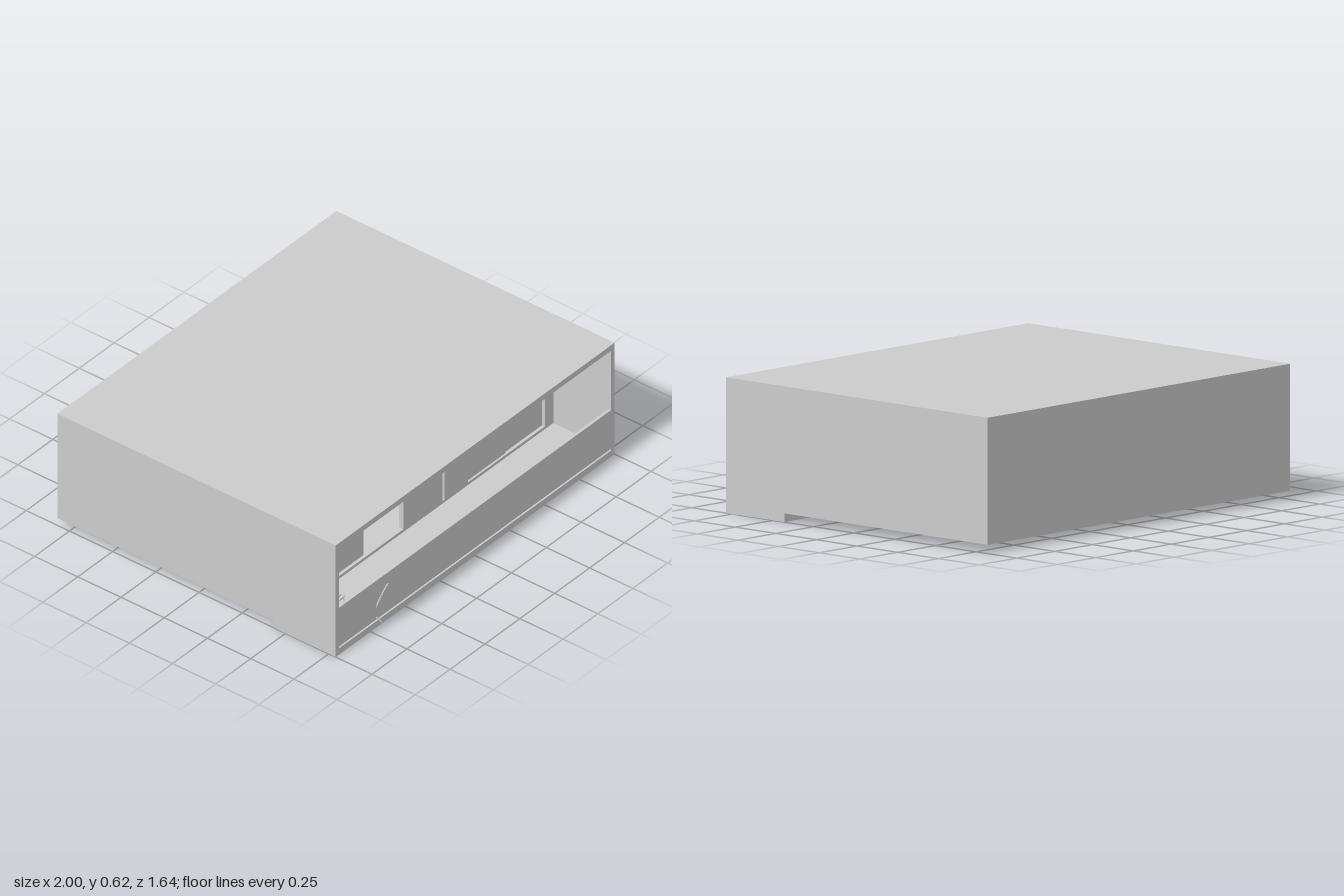
import * as THREE from 'three';

const mat = new THREE.MeshStandardMaterial({ color: 0xcccccc, side: THREE.DoubleSide });

// Box given by its min and max corners
function box(parent, name, x0, x1, y0, y1, z0, z1) {
  const m = new THREE.Mesh(new THREE.BoxGeometry(x1 - x0, y1 - y0, z1 - z0), mat);
  m.position.set((x0 + x1) / 2, (y0 + y1) / 2, (z0 + z1) / 2);
  m.name = name;
  parent.add(m);
  return m;
}

function rod(parent, name, a, b, r) {
  const curve = new THREE.LineCurve3(new THREE.Vector3(...a), new THREE.Vector3(...b));
  const m = new THREE.Mesh(new THREE.TubeGeometry(curve, 1, r, 6), mat);
  m.name = name;
  parent.add(m);
}

function rectPath(Type, x0, x1, y0, y1) {
  const p = new Type();
  p.moveTo(x0, y0);
  p.lineTo(x1, y0);
  p.lineTo(x1, y1);
  p.lineTo(x0, y1);
  p.closePath();
  return p;
}

// Slatted chair; its reclined back is on the local +z side
function chair(x, z, yaw) {
  const g = new THREE.Group();
  g.name = 'balconyChair';
  for (let i = 0; i < 5; i++) {
    const zs = -0.045 + i * 0.02;
    box(g, 'seatSlat', -0.045, 0.045, 0.075, 0.081, zs, zs + 0.015);
  }
  for (let i = 0; i < 7; i++) {
    const y = 0.095 + i * 0.0155, zb = 0.052 + i * 0.006;
    box(g, 'backSlat', -0.045, 0.045, y, y + 0.012, zb - 0.003, zb + 0.003);
  }
  for (const s of [-0.042, 0.042]) {
    rod(g, 'backPost', [s, 0.075, 0.044], [s, 0.2, 0.089], 0.003);
    rod(g, 'frontLeg', [s, 0.035, -0.045], [s, 0.078, -0.035], 0.003);
    rod(g, 'rearLeg', [s, 0.035, 0.085], [s, 0.078, 0.035], 0.003);
  }
  g.position.set(x, 0, z);
  g.rotation.y = yaw;
  return g;
}

export function createModel() {
  const model = new THREE.Group();
  model.name = 'apartment';

  // Shell: sides run past the balcony, the base steps down under it
  for (const s of [-1, 1]) {
    const x0 = s < 0 ? -1 : 0.975;
    box(model, 'sideWall', x0, x0 + 0.025, 0.04, 0.62, -0.82, 0.79);
    box(model, 'balconySideBase', x0, x0 + 0.025, 0, 0.04, 0.43, 0.79);
  }
  box(model, 'backWall', -0.975, 0.975, 0.04, 0.62, -0.82, -0.795);
  box(model, 'roof', -0.975, 0.975, 0.59, 0.62, -0.795, 0.79);
  box(model, 'roomFloor', -0.975, 0.975, 0.035, 0.046, -0.795, 0.43);
  box(model, 'balconyFloor', -0.975, 0.975, 0, 0.035, 0.43, 0.79);
  box(model, 'parapet', -0.975, 0.975, 0.045, 0.26, 0.775, 0.79);

  // Window wall behind the balcony
  const wall = rectPath(THREE.Shape, -0.975, 0.975, 0.035, 0.59);
  for (const [a, b] of [[-0.93, -0.1], [0.18, 0.195], [0.365, 0.915]]) {
    wall.holes.push(rectPath(THREE.Path, a, b, 0.05, 0.56));
  }
  const windowWall = new THREE.Mesh(
    new THREE.ExtrudeGeometry(wall, { depth: 0.025, bevelEnabled: false }), mat);
  windowWall.position.z = 0.43;
  windowWall.name = 'windowWall';
  model.add(windowWall);

  // Closed sliding panels; the bay beside the pier stays open
  const panels = [[-0.93, -0.64], [-0.65, -0.365], [0.365, 0.645], [0.635, 0.915]];
  panels.forEach(([a, b], i) => {
    const z = i % 2 ? 0.434 : 0.44;
    box(model, 'slidingPanel', a, b, 0.05, 0.56, z, z + 0.005);
  });

  // Rooms inside
  box(model, 'roomDivider', 0.195, 0.215, 0.046, 0.59, -0.795, 0.43);
  const door = new THREE.Group();
  door.name = 'door';
  box(door, 'doorLeaf', -0.275, -0.135, 0.046, 0.425, -0.795, -0.78);
  const knob = new THREE.Mesh(new THREE.SphereGeometry(0.007, 10, 8), mat);
  knob.position.set(-0.155, 0.22, -0.773);
  knob.name = 'doorKnob';
  door.add(knob);
  model.add(door);
  box(model, 'wallCabinet', -0.4, -0.29, 0.355, 0.505, -0.795, -0.7);

  // Dining table and seats
  const dining = new THREE.Group();
  dining.name = 'diningSet';
  box(dining, 'tableTop', -0.42, -0.18, 0.165, 0.175, -0.2, -0.02);
  for (const x of [-0.41, -0.19]) {
    for (const z of [-0.19, -0.03]) rod(dining, 'tableLeg', [x, 0.046, z], [x, 0.165, z], 0.006);
  }
  box(dining, 'sofaSeat', -0.16, 0.05, 0.046, 0.12, -0.1, 0.06);
  box(dining, 'sofaBack', 0.05, 0.09, 0.046, 0.2, -0.1, 0.06);
  model.add(dining);

  // Domed hanging lamp
  const shade = new THREE.Mesh(
    new THREE.SphereGeometry(0.04, 20, 8, 0, Math.PI * 2, 0, Math.PI / 2), mat);
  shade.position.set(-0.09, 0.425, -0.1);
  shade.name = 'lampShade';
  model.add(shade);
  rod(model, 'lampCord', [-0.09, 0.46, -0.1], [-0.09, 0.59, -0.1], 0.003);

  // Balcony furniture
  model.add(chair(-0.69, 0.72, 0.36), chair(-0.74, 0.555, Math.PI + 0.1));
  const table = new THREE.Group();
  table.name = 'balconyTable';
  const top = new THREE.Mesh(new THREE.CylinderGeometry(0.04, 0.04, 0.006, 20), mat);
  top.position.y = 0.127;
  top.name = 'tableTop';
  table.add(top);
  rod(table, 'tableStem', [0, 0.035, 0], [0, 0.125, 0], 0.005);
  table.position.set(-0.84, 0, 0.63);
  model.add(table);

  return model;
}
